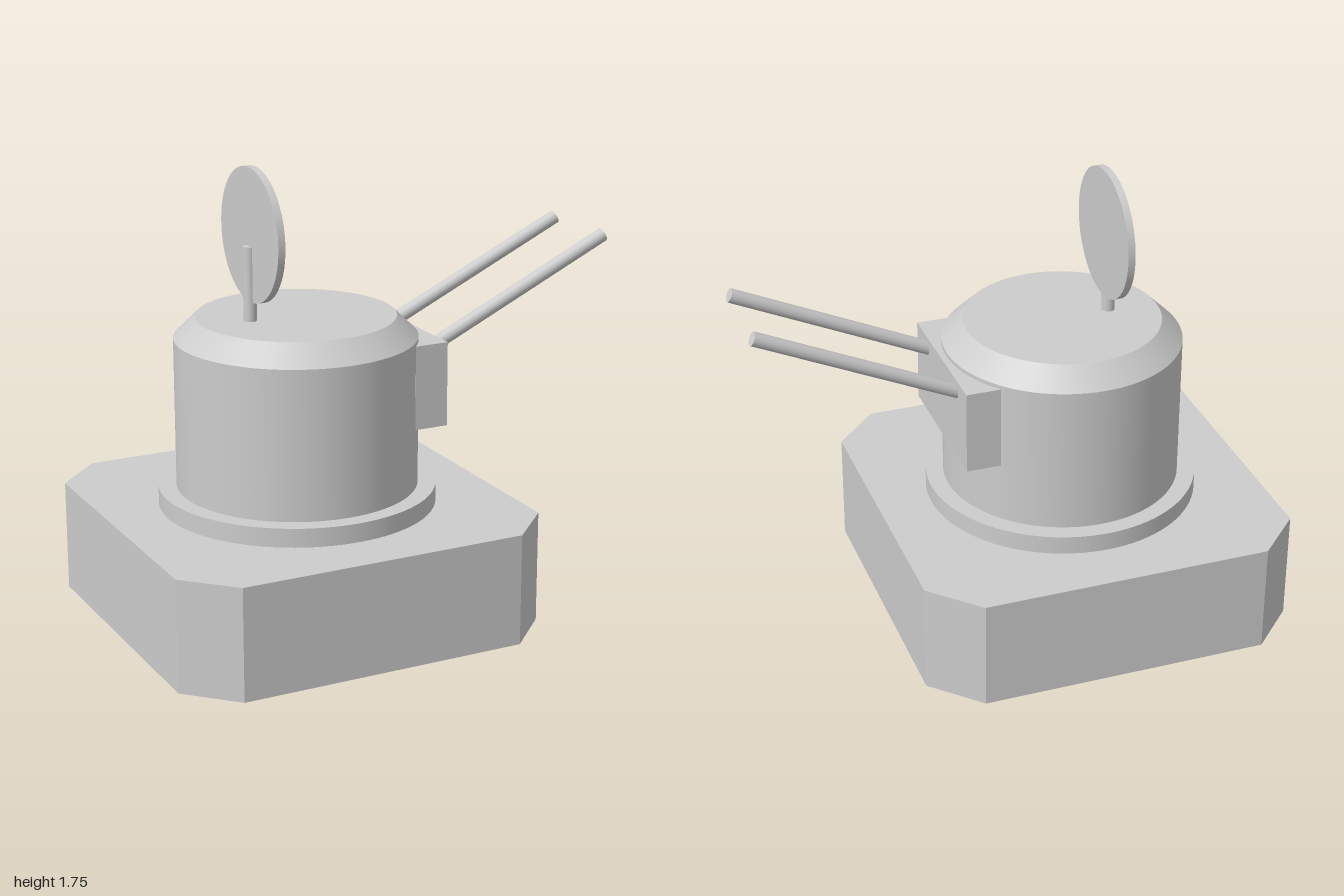
import * as THREE from 'three';

export function createModel() {
  const model = new THREE.Group();
  model.name = 'gunTurret';
  const grey = new THREE.MeshStandardMaterial({ color: 0xcccccc });
  grey.name = 'plain grey';

  const CX = -0.257; // turret axis

  const add = (name, geometry, x, y, z) => {
    const mesh = new THREE.Mesh(geometry, grey);
    mesh.name = name;
    mesh.position.set(x, y, z);
    model.add(mesh);
    return mesh;
  };

  // upright round part between two heights
  const drum = (name, x, y0, y1, rBottom, rTop = rBottom, sides = 96) =>
    add(name, new THREE.CylinderGeometry(rTop, rBottom, y1 - y0, sides), x, (y0 + y1) / 2, 0);

  // base block with cut corners
  const h = 0.742, c = 0.178;
  const outline = new THREE.Shape([
    [h, h - c], [h - c, h], [c - h, h], [-h, h - c],
    [-h, c - h], [c - h, -h], [h - c, -h], [h, c - h],
  ].map(([x, y]) => new THREE.Vector2(x, y)));
  const baseGeo = new THREE.ExtrudeGeometry(outline, { depth: 0.435, bevelEnabled: false });
  baseGeo.rotateX(-Math.PI / 2);
  add('base', baseGeo, CX, 0, 0);

  // turret
  drum('collar', CX, 0.435, 0.508, 0.532);
  drum('turretBody', CX, 0.508, 1.088, 0.463);
  drum('turretBevel', CX, 1.088, 1.168, 0.463, 0.381);

  // gun mount, reaching back into the body
  add('gunMount', new THREE.BoxGeometry(0.135, 0.328, 0.604), 0.1625, 0.909, 0);

  // twin barrels, raised 25 degrees
  const angle = THREE.MathUtils.degToRad(25);
  const start = new THREE.Vector2(0.18, 1.004);
  const length = (0.988 - start.x) / Math.cos(angle);
  for (const side of [-1, 1]) {
    const barrel = add(side > 0 ? 'frontBarrel' : 'backBarrel',
      new THREE.CylinderGeometry(0.027, 0.027, length, 32),
      start.x + Math.cos(angle) * length / 2,
      start.y + Math.sin(angle) * length / 2,
      side * 0.178);
    barrel.rotation.z = angle - Math.PI / 2;
  }

  // radar dish on its post
  drum('radarPost', -0.445, 1.16, 1.452, 0.025, 0.025, 32);
  const dish = add('radarDish', new THREE.CylinderGeometry(0.255, 0.255, 0.028, 80), -0.431, 1.494, 0);
  dish.rotation.z = Math.PI / 2;

  return model;
}
